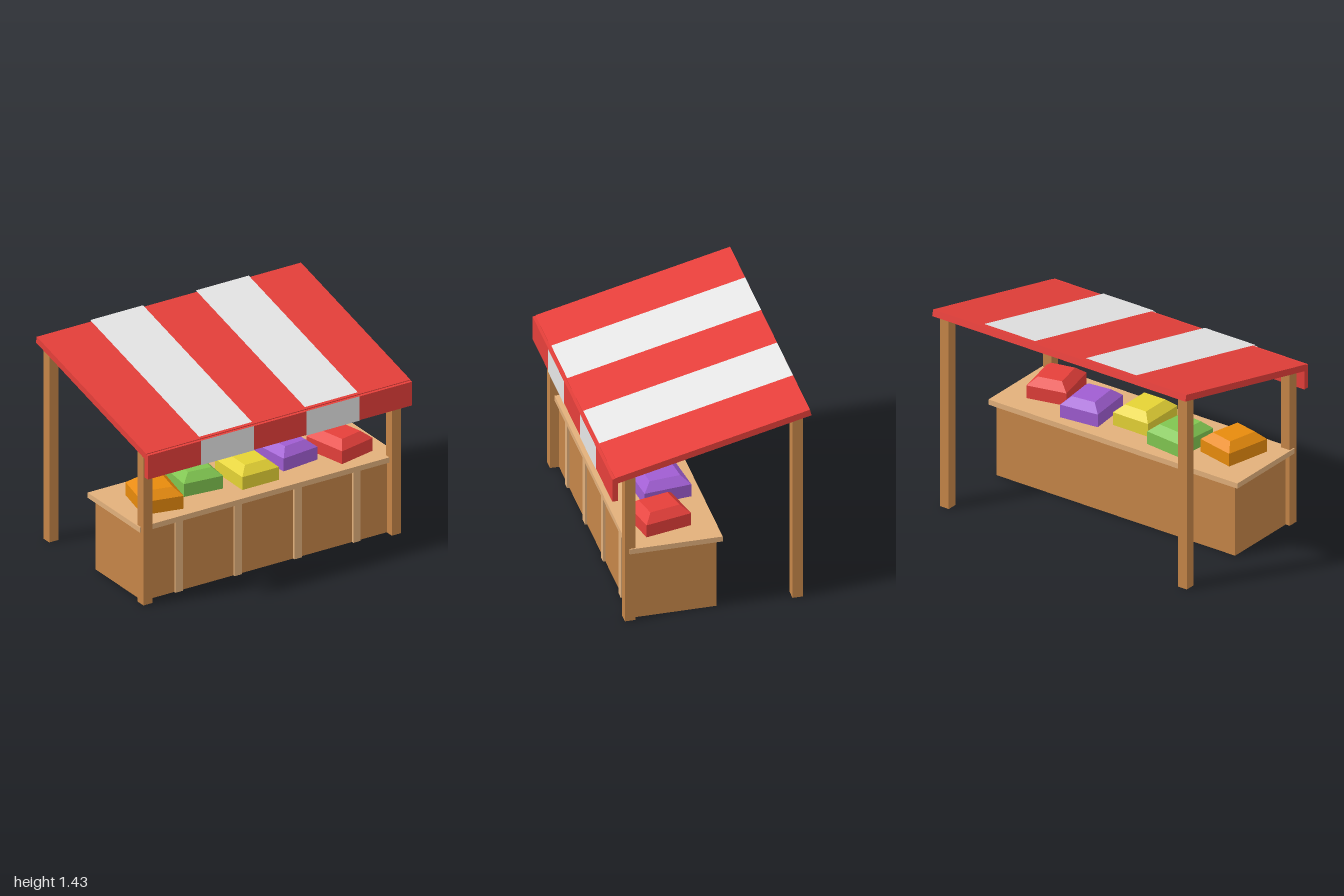
import * as THREE from 'three';

const mat = (name, color, side = THREE.FrontSide) => {
  const m = new THREE.MeshStandardMaterial({ color, side });
  m.name = name;
  return m;
};

export function createModel() {
  const group = new THREE.Group();
  group.name = 'marketStall';

  const red = mat('awningRed', 0xe53f3a);
  const white = mat('stripeWhite', 0xe5e5e5, THREE.DoubleSide);
  const wood = mat('wood', 0xc58548);
  const lightWood = mat('lightWood', 0xe2b07b);
  const orange = mat('orange', 0xe88b0c);
  const green = mat('green', 0x80c550);
  const yellow = mat('yellow', 0xe5d335);
  const purple = mat('purple', 0xa05dd2);

  const add = (name, geometry, material, x, y, z, parent = group) => {
    const mesh = new THREE.Mesh(geometry, material);
    mesh.name = name;
    mesh.position.set(x, y, z);
    parent.add(mesh);
    return mesh;
  };
  // Box given by its limits on each axis
  const box = (name, material, [x0, x1], [y0, y1], [z0, z1]) =>
    add(name, new THREE.BoxGeometry(x1 - x0, y1 - y0, z1 - z0), material,
      (x0 + x1) / 2, (y0 + y1) / 2, (z0 + z1) / 2);

  // Counter: body, top and front battens
  box('counterBody', wood, [-0.943, 0.943], [0, 0.505], [-0.05, 0.5]);
  box('counterTop', lightWood, [-0.983, 0.983], [0.503, 0.54], [-0.08, 0.53]);
  for (const x of [-0.675, -0.228, 0.225, 0.67]) {
    box('counterBatten', lightWood, [x - 0.028, x + 0.028], [0, 0.505], [0.49, 0.515]);
  }

  // Four posts, the back pair taller
  for (const side of [-1, 1]) {
    const x = side * 0.94;
    box('frontPost', wood, [x - 0.035, x + 0.035], [0, 1.092], [0.49, 0.56]);
    box('backPost', wood, [x - 0.035, x + 0.035], [0, 1.36], [-0.61, -0.54]);
  }

  // Sloping awning with white stripes just above its surface
  const awning = new THREE.Group();
  awning.name = 'awning';
  awning.position.set(0, 1.236, -0.0143);
  awning.rotation.x = Math.atan(0.31 / 1.278);
  group.add(awning);
  add('awningRoof', new THREE.BoxGeometry(2, 0.045, 1.315), red, 0, 0, 0, awning);

  // Hanging front valance
  box('valance', red, [-1, 1], [0.93, 1.097], [0.613, 0.65]);

  for (const x of [-0.4, 0.4]) {
    const stripe = add('roofStripe', new THREE.PlaneGeometry(0.4, 1.31), white, x, 0.039, 0, awning);
    stripe.rotation.x = -Math.PI / 2;
    add('valanceStripe', new THREE.PlaneGeometry(0.4, 0.172), white, x, 1.014, 0.653);
  }

  // Produce heap: a block whose top row of corners is drawn inwards
  const heapGeometry = () => {
    const w = 0.277, d = 0.318, inset = 0.055;
    const g = new THREE.BoxGeometry(w, 2, d, 1, 2, 1);
    const p = g.attributes.position;
    for (let i = 0; i < p.count; i++) {
      const level = Math.round(p.getY(i)) + 1;
      p.setY(i, [0, 0.09, 0.14][level]);
      if (level === 2) {
        p.setX(i, Math.sign(p.getX(i)) * (w / 2 - inset));
        p.setZ(i, Math.sign(p.getZ(i)) * (d / 2 - inset));
      }
    }
    const flat = g.toNonIndexed();
    flat.computeVertexNormals();
    return flat;
  };
  [
    ['orangeProduce', orange], ['greenProduce', green], ['yellowProduce', yellow],
    ['purpleProduce', purple], ['redProduce', red],
  ].forEach(([name, material], i) => {
    const heap = add(name, heapGeometry(), material, (i - 2) * 0.35, 0.54, i % 2 ? 0.165 : 0.265);
    heap.rotation.y = (i - 2) * 0.11;
  });

  return group;
}
